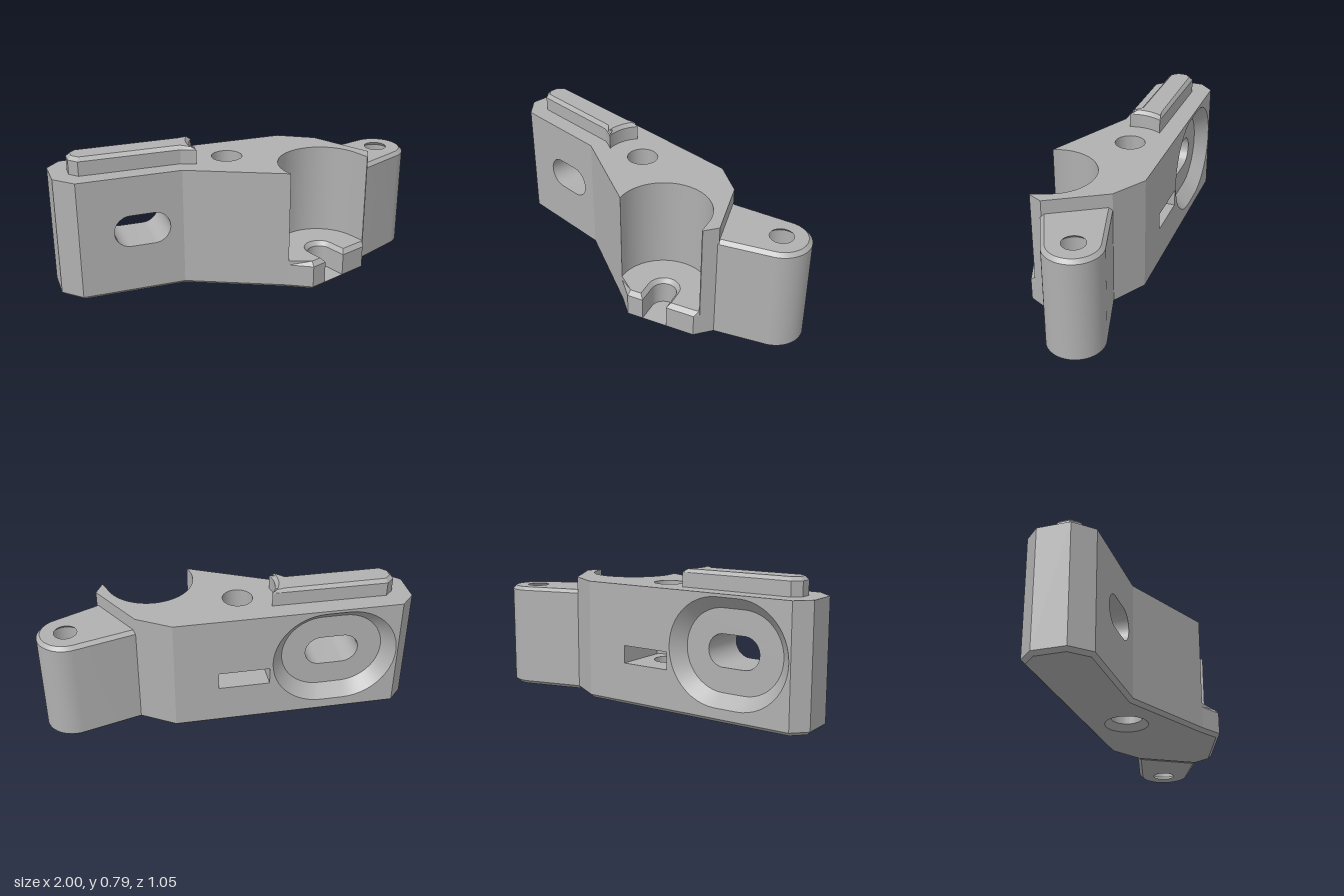
import * as THREE from 'three';
import { toCreasedNormals } from 'three/addons/utils/BufferGeometryUtils.js';

const grey = new THREE.MeshStandardMaterial({ color: 0xb0b0b0, side: THREE.DoubleSide });
grey.name = 'machinedGrey';

const H = 0.685;      // body height
const C = 0.02;       // edge chamfer
const T = 0.36;       // arm thickness

// Arm frame: s runs along the back wall, t goes inward from it
const B0 = [-0.84, -0.53], B1 = [0.37, -0.09];
const L = Math.hypot(B1[0] - B0[0], B1[1] - B0[1]);
const ux = (B1[0] - B0[0]) / L, uz = (B1[1] - B0[1]) / L;
const plan = (s, t) => [B0[0] + ux * s - uz * t, B0[1] + uz * s + ux * t];
const onWall = (t) => ([s, y]) => { const [x, z] = plan(s, t); return [x, y, z]; };
const atY = (y) => ([x, z]) => [x, y, z];

const arc = (cx, cy, r, a0, a1, n = 24) => Array.from({ length: n + 1 }, (_, i) => {
  const a = a0 + (a1 - a0) * i / n;
  return [cx + r * Math.cos(a), cy + r * Math.sin(a)];
});
const ring = (cx, cy, r) => arc(cx, cy, r, 0, Math.PI * 2, 40).slice(1);
const stadium = (cx, cy, half, r) => [
  ...arc(cx + half, cy, r, -Math.PI / 2, Math.PI / 2),
  ...arc(cx - half, cy, r, Math.PI / 2, Math.PI * 1.5)];
const close = (pts) => [...pts, pts[0]];

// Inset a plan outline with mitred corners
function inset(pts, d) {
  const n = pts.length;
  const normal = (a, b) => {
    const l = Math.hypot(b[0] - a[0], b[1] - a[1]);
    return [-(b[1] - a[1]) / l, (b[0] - a[0]) / l];
  };
  return pts.map((p, i) => {
    const m = normal(pts[(i + n - 1) % n], p), k = normal(p, pts[(i + 1) % n]);
    const f = d / (1 + m[0] * k[0] + m[1] * k[1]);
    return [p[0] + (m[0] + k[0]) * f, p[1] + (m[1] + k[1]) * f];
  });
}

function toShape(outer, holes = []) {
  const v = (pts) => pts.map((p) => new THREE.Vector2(p[0], p[1]));
  const shape = new THREE.Shape(v(outer));
  for (const h of holes) shape.holes.push(new THREE.Path(v(h)));
  return shape;
}

export function createModel() {
  const model = new THREE.Group();
  model.name = 'clampBracket';
  const body = new THREE.Group();
  body.name = 'body';
  model.add(body);

  const add = (name, geo, parent = body) => {
    const mesh = new THREE.Mesh(geo, grey);
    mesh.name = name;
    parent.add(mesh);
  };
  // Flat face with holes, placed by a mapping
  const panel = (name, outer, holes, map) => {
    const geo = new THREE.ShapeGeometry(toShape(outer, holes));
    const pos = geo.attributes.position;
    for (let i = 0; i < pos.count; i++) pos.setXYZ(i, ...map([pos.getX(i), pos.getY(i)]));
    geo.computeVertexNormals();
    add(name, geo);
  };
  // Strip of quads between two matching paths
  const band = (name, a, b) => {
    const geo = new THREE.BufferGeometry(), index = [], n = a.length;
    geo.setAttribute('position', new THREE.Float32BufferAttribute([...a, ...b].flat(), 3));
    for (let i = 0; i < n - 1; i++) index.push(i, i + 1, n + i, i + 1, n + i + 1, n + i);
    geo.setIndex(index);
    add(name, toCreasedNormals(geo, 0.4));
  };
  const wall = (name, path, y0, y1) => band(name, path.map(atY(y0)), path.map(atY(y1)));
  // Bevelled block standing upright
  const block = (name, outer, holes, y0, y1) => {
    const flip = (pts) => pts.map(([x, z]) => [x, -z]);
    const geo = new THREE.ExtrudeGeometry(toShape(flip(outer), holes.map(flip)), {
      depth: y1 - y0 - 2 * C, bevelThickness: C, bevelSize: C, bevelOffset: -C, bevelSegments: 1 });
    geo.rotateX(-Math.PI / 2).translate(0, y0 + C, 0);
    add(name, toCreasedNormals(geo, 0.4), model);
  };

  // Plan outline of the body
  const right = [0.58, 0.44], lipRight = [0.49, 0.525], lipLeft = [0.10, 0.525];
  const cheek = [0.515, 0.501], cheekIn = [0.51, 0.50], left = [0.01, 0.42];
  const armIn = plan(0.598, T), armOut = plan(0.026, T);
  const shoulder = [0.51, 0.08], tip = [-1, -0.31], tipBack = [-0.94, -0.48];
  const outline = [B0, B1, shoulder, right, lipRight, lipLeft, left, armIn, armOut, tip, tipBack];
  const foot = inset(outline, C);

  // Vertical bolt hole
  const [hs, ht] = [0.892, 0.229];
  const [hx, hz] = plan(hs, ht);
  const hole = ring(hx, hz, 0.085), sink = ring(hx, hz, 0.12);
  const trapY0 = 0.24, trapY1 = 0.34;
  band('boltCountersink', close(sink).map(atY(0)), close(hole).map(atY(0.035)));
  wall('boltHoleLower', close(hole), 0.035, trapY0);
  wall('boltHoleUpper', close(hole), trapY1, H);

  // Underside and chamfer
  panel('underside', foot, [sink], atY(0));
  band('footChamfer', close(foot).map(atY(0)), close(outline).map(atY(C)));

  // Plain walls
  wall('rightWalls', [B1, shoulder, right, cheek], C, H);
  wall('cheekFront', [cheek, cheekIn], 0.145, H);
  wall('diagonalWall', [left, armIn], C, H);
  wall('armEnd', [armOut, tip, tipBack, B0], C, H);

  // Round pocket, open at the front
  const pocket = [cheekIn, ...arc(0.26, 0.41, 0.25, 0, -Math.PI, 48), left];
  wall('pocketWall', pocket, 0.17, H);
  panel('topFace', [B0, B1, shoulder, right, cheek, ...pocket, armIn, armOut, tip, tipBack], [hole], atY(H));

  // Pocket floor with chamfered lip and U-shaped slot
  const slotU = (r, z) => [[0.26 + r, z], ...arc(0.26, 0.41, r, 0, -Math.PI), [0.26 - r, z]];
  const lipLow = [cheek, lipRight, ...slotU(0.07, 0.525), lipLeft, left];
  const lipTop = [cheekIn, [0.48, 0.503], ...slotU(0.09, 0.503), [0.108, 0.503], left];
  wall('lipWall', lipLow, C, 0.145);
  band('lipChamfer', lipLow.map(atY(0.145)), lipTop.map(atY(0.17)));
  panel('pocketFloor', [...lipTop, ...pocket.slice(1, -1).reverse()], [], atY(0.17));
  panel('slotFloor', slotU(0.07, 0.525), [], atY(C));

  // Cross slot through the arm with a tapered recess behind
  const cs = 0.37, cy = 0.373, half = 0.065, depth = 0.076;
  const slot = stadium(cs, cy, half, 0.09);
  const recessIn = stadium(cs, cy, half, 0.228), recessOut = stadium(cs, cy, half, 0.295);
  const s0 = hs - 0.146, s1 = hs + 0.146;
  panel('backWall', [[0, C], [L, C], [L, H], [0, H]],
    [recessOut, [[s0, trapY0], [s1, trapY0], [s1, trapY1], [s0, trapY1]]], onWall(0));
  band('recessTaper', close(recessOut).map(onWall(0)), close(recessIn).map(onWall(depth)));
  panel('recessFloor', recessIn, [slot], onWall(depth));
  band('crossSlot', close(slot).map(onWall(depth)), close(slot).map(onWall(T)));
  panel('armFront', [[0.026, C], [0.598, C], [0.598, H], [0.026, H]], [slot], onWall(T));

  // Nut trap crossing the bolt hole
  const trap = [[s0, 0], [s0, ht + 0.084], [hs, ht + 0.168], [s1, ht + 0.084], [s1, 0]].map((p) => plan(...p));
  wall('nutTrapWalls', trap, trapY0, trapY1);
  panel('nutTrapFloor', trap, [hole], atY(trapY0));
  panel('nutTrapCeiling', trap, [hole], atY(trapY1));

  // Side ear with its hole
  block('ear', [[0.49, 0.079], [0.51, 0.08], ...arc(0.843, 0.265, 0.157, -1.48, 1.45, 32), [0.58, 0.445], [0.56, 0.447]],
    [ring(0.843, 0.262, 0.083)], 0, 0.607);

  // Raised rail on the arm, scooped around the bolt hole
  block('rail', [[-0.815, -0.408], ...arc(hx, hz, 0.208, -2.185, -3.14, 12), [-0.30, -0.025],
    [-0.35, -0.072], [-0.87, -0.262], [-0.895, -0.322], [-0.872, -0.383]], [], H - 0.022, 0.785);

  return model;
}
